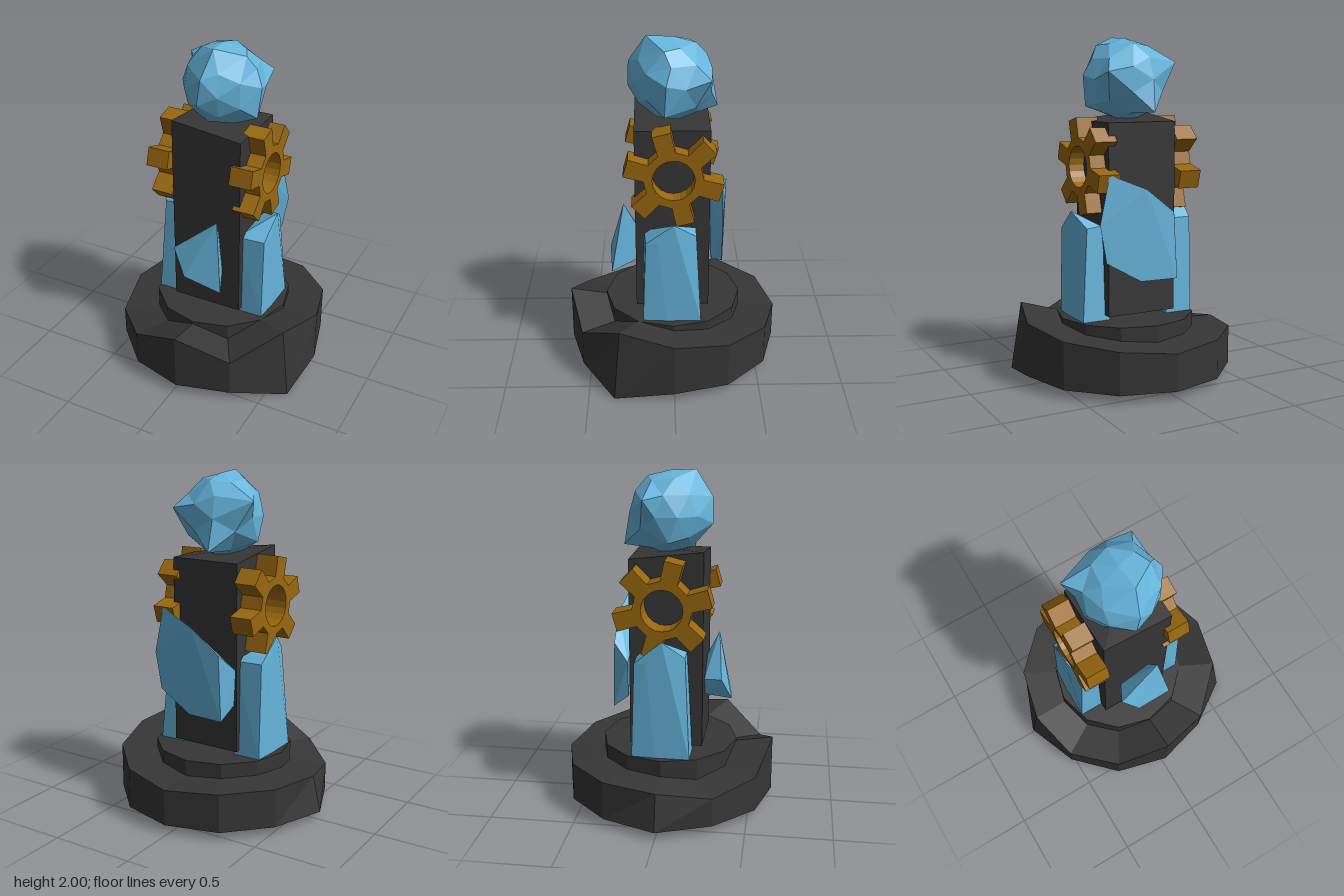
import * as THREE from 'three';
import { ConvexGeometry } from 'three/addons/geometries/ConvexGeometry.js';

const mat = (name, color) => Object.assign(new THREE.MeshStandardMaterial({ color }), { name });
const V = (p) => new THREE.Vector3(...p);

// Move vertices by a rule, then give every face its own flat normal
function reshape(geometry, rule) {
  const g = geometry.index ? geometry.toNonIndexed() : geometry;
  const pos = g.attributes.position;
  const v = new THREE.Vector3();
  for (let i = 0; i < pos.count; i++) {
    v.fromBufferAttribute(pos, i);
    rule(v);
    pos.setXYZ(i, v.x, v.y, v.z);
  }
  g.computeVertexNormals();
  return g;
}

// Rough rock slab: twelve sides with an uneven rim
function baseGeometry() {
  const rim = [0.39, 0.27, 0.415, 0.365, 0.325, 0.295, 0.265, 0.28, 0.28, 0.265, 0.22, 0.26];
  return reshape(new THREE.CylinderGeometry(0.63, 0.63, 1, 12), (v) => {
    const atRim = Math.hypot(v.x, v.z) > 0.1;
    const i = Math.round(Math.atan2(v.x, v.z) / (Math.PI / 6) + 12) % 12;
    const top = v.y > 0;
    v.x += 0.02;
    v.y = top ? (atRim ? rim[i] : 0.29) : 0.05;
    if (atRim && !top && i === 2) v.set(0.62, 0, 0.35);
    if (atRim && i === 9) v.x = top ? -0.6 : -0.65;
  });
}

// Six-toothed cog with a round hole, lying across the x axis
function gearGeometry() {
  const shape = new THREE.Shape();
  const pts = [];
  const polar = (a, r) => pts.push(new THREE.Vector2(r * Math.cos(a), r * Math.sin(a)));
  for (let k = 0; k < 6; k++) {
    const a = THREE.MathUtils.degToRad(104 + 60 * k);
    polar(a - 0.3, 0.17);
    polar(a - 0.19, 0.285);
    polar(a + 0.19, 0.285);
    polar(a + 0.3, 0.17);
  }
  shape.setFromPoints(pts);
  shape.holes.push(new THREE.Path().absarc(0, 0, 0.12, 0, Math.PI * 2, true));
  return new THREE.ExtrudeGeometry(shape, { depth: 0.135, bevelEnabled: false, curveSegments: 10 })
    .rotateY(Math.PI / 2);
}

// Faceted ball with a few vertices pulled out to points
function orbGeometry() {
  const centre = new THREE.Vector3(0.02, 1.755, 0);
  const points = [
    [-0.255, 1.855, -0.12], [0.03, 2.0, 0.15], [0.23, 1.8, -0.21], [-0.04, 1.57, -0.26],
    [0.03, 1.96, -0.13], [0.27, 1.78, 0.04], [0.0, 1.85, 0.25], [-0.02, 1.7, 0.255],
    [0.18, 1.95, 0.05], [0.25, 1.6, 0.05], [-0.2, 1.61, 0.02], [0.02, 1.5, -0.02],
  ].map(V);
  const geo = new THREE.IcosahedronGeometry(0.238, 1).rotateY(0.3).translate(...centre.toArray());
  const pos = geo.attributes.position;
  const moves = points.map((to) => {
    const from = new THREE.Vector3();
    const p = new THREE.Vector3();
    let best = Infinity;
    for (let i = 0; i < pos.count; i++) {
      p.fromBufferAttribute(pos, i);
      const d = p.distanceTo(to);
      if (d < best) { best = d; from.copy(p); }
    }
    return { from, to };
  });
  return reshape(geo, (v) => {
    const m = moves.find(({ from }) => from.distanceTo(v) < 1e-4);
    if (m) v.copy(m.to);
  });
}

// Crystal splinters as convex solids
const sideShard = [
  [0.19, 0.37, 0.18], [0.36, 0.37, 0.18], [0.37, 0.37, 0.04], [0.37, 0.37, -0.16], [0.2, 0.37, -0.16],
  [0.19, 0.88, 0.17], [0.36, 0.88, 0.16], [0.37, 0.88, 0.09], [0.37, 1.0, 0],
  [0.24, 0.92, 0], [0.24, 0.92, -0.13], [0.33, 0.91, -0.13],
];
const frontShard = [
  [-0.145, 0.8, 0.325], [0.12, 1.02, 0.29], [0.18, 0.6, 0.365], [-0.05, 0.655, 0.38],
  [-0.09, 0.78, 0.22], [0.1, 0.88, 0.22], [0.12, 0.65, 0.22], [-0.04, 0.67, 0.22],
];
const backShard = [
  [0.26, 1.23, -0.28], [0.04, 1.14, -0.315], [-0.14, 1.0, -0.31], [-0.16, 0.61, -0.315],
  [0.07, 0.61, -0.3], [0.28, 0.73, -0.28], [0.32, 0.95, -0.28],
  [0.2, 1.1, -0.21], [-0.2, 0.9, -0.22], [-0.19, 0.69, -0.22], [0.25, 0.72, -0.22],
];

export function createModel() {
  const stone = mat('dark stone', 0x363636);
  const crystal = mat('blue crystal', 0x66b5dc);
  const brass = mat('old brass', 0x99680f);
  const model = new THREE.Group();
  model.name = 'crystalPillar';
  const add = (name, geometry, material) => {
    const mesh = new THREE.Mesh(geometry, material);
    mesh.name = name;
    model.add(mesh);
    return mesh;
  };

  // Stone base and step
  add('base', baseGeometry(), stone);
  add('step', reshape(new THREE.CylinderGeometry(0.41, 0.41, 0.17, 12), (v) => {
    v.x += 0.02;
    v.y += 0.285;
  }), stone);

  // Square column with one raised top corner
  add('column', reshape(new THREE.BoxGeometry(0.43, 1.115, 0.43), (v) => {
    if (v.y > 0 && v.x < 0 && v.z > 0) v.y += 0.05;
    v.add(V([0.015, 0.9575, 0.005]));
  }), stone);

  // Cogs on both sides
  for (const [name, x] of [['leftGear', 0.19], ['rightGear', -0.335]]) {
    add(name, gearGeometry(), brass).position.set(x, 1.255, 0);
  }

  // Crystals around the column
  const hull = (pts) => new ConvexGeometry(pts.map(V));
  add('leftShard', hull(sideShard), crystal);
  add('rightShard', hull(sideShard.map(([x, y, z]) =>
    [0.025 - x, 0.37 + (y - 0.37) * 1.12, -z])), crystal);
  add('frontShard', hull(frontShard), crystal);
  add('backShard', hull(backShard), crystal);

  // Crystal ball on top
  add('orb', orbGeometry(), crystal);
  return model;
}
